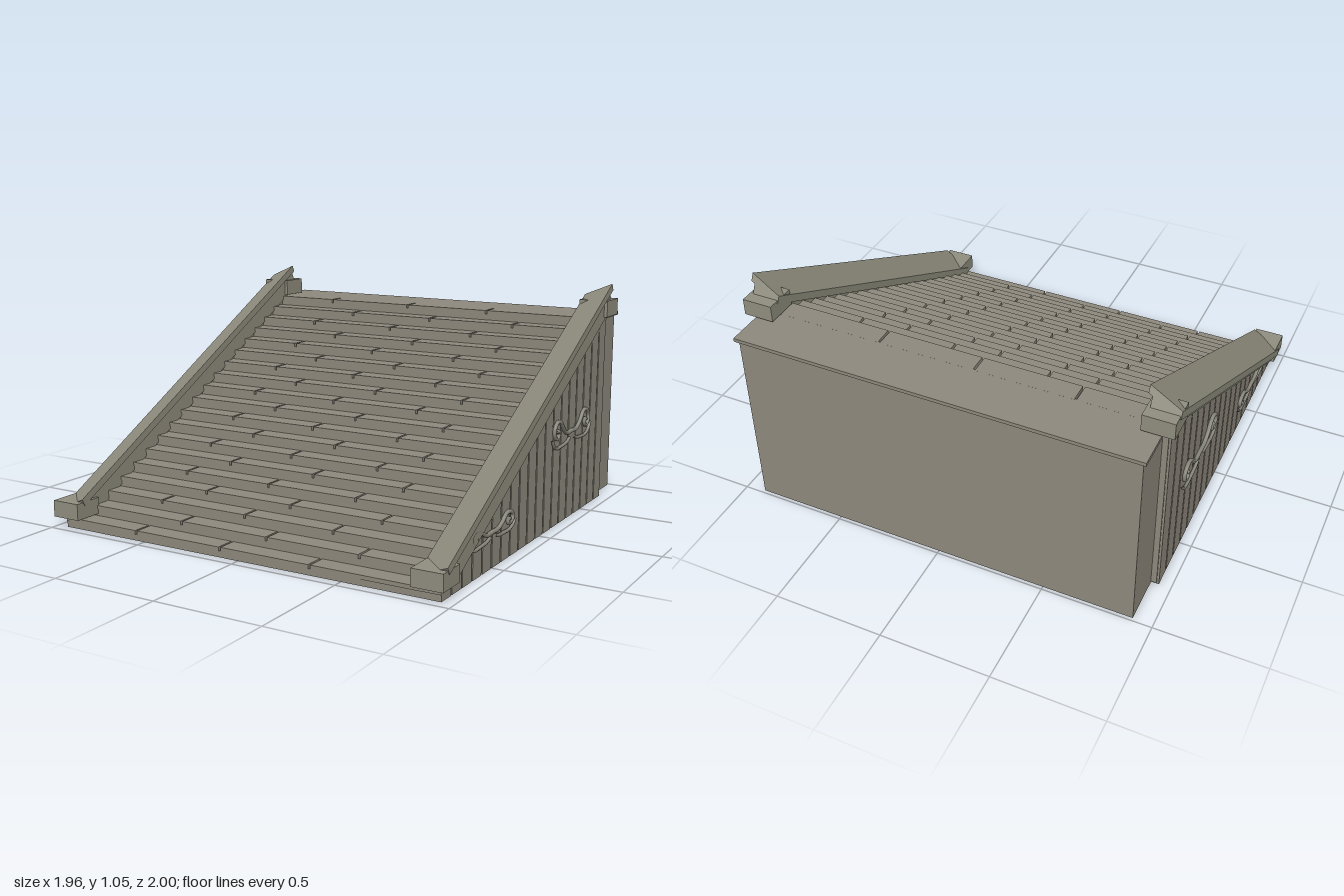
import * as THREE from 'three';

const STEPS = 19, RUN = 0.0911, RISE = 0.0468, FRONT = 0.96;
const TREAD = 0.018, GAP = 0.01, HALF = 0.945;

export function createModel() {
  const model = new THREE.Group();
  const stone = new THREE.MeshStandardMaterial({ color: 0x8f8a7e });
  stone.name = 'warm grey stone';
  const trim = new THREE.MeshStandardMaterial({ color: 0x918f80 });
  trim.name = 'grey green trim';
  const iron = new THREE.MeshStandardMaterial({ color: 0x8c8a7e });
  iron.name = 'grey scrollwork';

  const add = (name, geo, mat, parent = model) => {
    const mesh = new THREE.Mesh(geo, mat);
    mesh.name = name;
    parent.add(mesh);
    return mesh;
  };
  // Box given by its limits on each axis
  const box = (name, mat, x0, x1, y0, y1, z0, z1, parent = model) => {
    const mesh = add(name, new THREE.BoxGeometry(x1 - x0, y1 - y0, z1 - z0), mat, parent);
    mesh.position.set((x0 + x1) / 2, (y0 + y1) / 2, (z0 + z1) / 2);
    return mesh;
  };
  const polygon = (pts) => new THREE.Shape(pts.map(([a, b]) => new THREE.Vector2(a, b)));

  // Steps: full-height planks with grooves between them, topped by jointed slabs
  const steps = new THREE.Group();
  steps.name = 'steps';
  model.add(steps);
  const joints = [[-0.54, -0.09, 0.355], [-0.36, 0.085, 0.535]];
  for (let i = 0; i < STEPS; i++) {
    const z1 = FRONT - i * RUN, z0 = z1 - RUN, top = (i + 1) * RISE;
    box('stepCore', stone, -HALF + 0.01, HALF - 0.01, 0.008, top - TREAD, z0, z1 - 0.004, steps);
    box('stepPlank', stone, -HALF, HALF, 0, top - TREAD, z0 + GAP / 2, z1 - GAP / 2, steps);
    const edges = [-HALF, ...joints[i % 2], HALF];
    for (let j = 0; j < edges.length - 1; j++) {
      const a = edges[j] + (j ? GAP / 2 : 0);
      const b = edges[j + 1] - (j < edges.length - 2 ? GAP / 2 : 0);
      box('treadSlab', stone, a, b, top - TREAD, top, z0, z1, steps);
    }
  }

  // Landing block and its overhanging slab
  box('landingBlock', stone, -0.91, 0.91, 0, 0.875, -0.985, -0.765);
  box('landingSlab', stone, -0.925, 0.925, 0.872, 0.889, -1, -0.765);

  // Sloping side rails, each a tilted cap on a beam with a block at both ends
  const high = new THREE.Vector2(-0.745, 1.05), low = new THREE.Vector2(0.97, 0.145);
  const length = high.distanceTo(low);
  const pitch = Math.atan2(high.y - low.y, low.x - high.x);
  const capSection = polygon([[-0.073, -0.103], [0.073, -0.035], [0.073, 0], [-0.073, -0.068]]);
  const beamSection = polygon([[-0.055, -0.13], [0.055, -0.13], [0.055, -0.042], [-0.055, -0.09]]);
  for (const x of [-0.91, 0.905]) {
    const rail = new THREE.Group();
    rail.name = x > 0 ? 'leftRail' : 'rightRail';
    rail.position.x = x;
    model.add(rail);
    const slope = new THREE.Group();
    slope.name = 'railSlope';
    slope.position.set(0, high.y, high.x);
    slope.rotation.x = pitch;
    rail.add(slope);
    const extrude = (shape, depth) => new THREE.ExtrudeGeometry(shape, { depth, bevelEnabled: false });
    add('railCap', extrude(capSection, length), trim, slope);
    add('railBeam', extrude(beamSection, length - 0.04), trim, slope);
    box('lowerBlock', trim, -0.07, 0.07, 0.055, 0.13, 0.86, 1, rail);
    box('upperBlock', trim, -0.07, 0.07, 0.895, 0.972, -0.84, -0.695, rail);
  }

  // Infill that closes the wedge between plank tops and the rail
  const wedge = polygon([[-0.94, 0.01], [0.74, 0.01], [0.74, 0.9], [-0.94, 0.02]]);
  for (const x of [-0.935, 0.865]) {
    const infill = add('sideInfill',
      new THREE.ExtrudeGeometry(wedge, { depth: 0.07, bevelEnabled: false }), stone);
    infill.rotation.y = Math.PI / 2;
    infill.position.x = x;
  }

  // Scrollwork: a curled bar with a leafy arm under each half
  const curl = [[0.06, 0], [0.1, 0.025], [0.14, 0.064], [0.18, 0.068], [0.21, 0.04],
    [0.205, 0.008], [0.18, -0.008], [0.158, 0.005], [0.162, 0.025], [0.178, 0.02]];
  const arm = [[0.025, -0.03], [0.06, -0.044], [0.12, -0.05], [0.18, -0.05], [0.212, -0.034], [0.235, 0]];
  const tube = (pts, radius) => new THREE.TubeGeometry(
    new THREE.CatmullRomCurve3(pts.map(([u, v]) => new THREE.Vector3(0, v, u))), 48, radius, 6);
  const mirror = (pts) => pts.map(([u, v]) => [-u, v]);
  const bar = [...mirror(curl).reverse(), [0, 0], ...curl];
  for (const side of [-1, 1]) {
    for (const [y, z, stretch] of [[0.415, -0.34, 1], [0.16, 0.515, 0.65]]) {
      const scroll = new THREE.Group();
      scroll.name = 'scrollOrnament';
      scroll.position.set(side * 0.952, y, z);
      model.add(scroll);
      const fit = (pts) => pts.map(([u, v]) => [u * (stretch < 1 ? 0.95 : 1), v * stretch]);
      add('scrollBar', tube(fit(bar), 0.01), iron, scroll);
      add('scrollArm', tube(fit(arm), 0.008), iron, scroll);
      add('scrollArm', tube(fit(mirror(arm)), 0.008), iron, scroll);
    }
  }
  return model;
}
